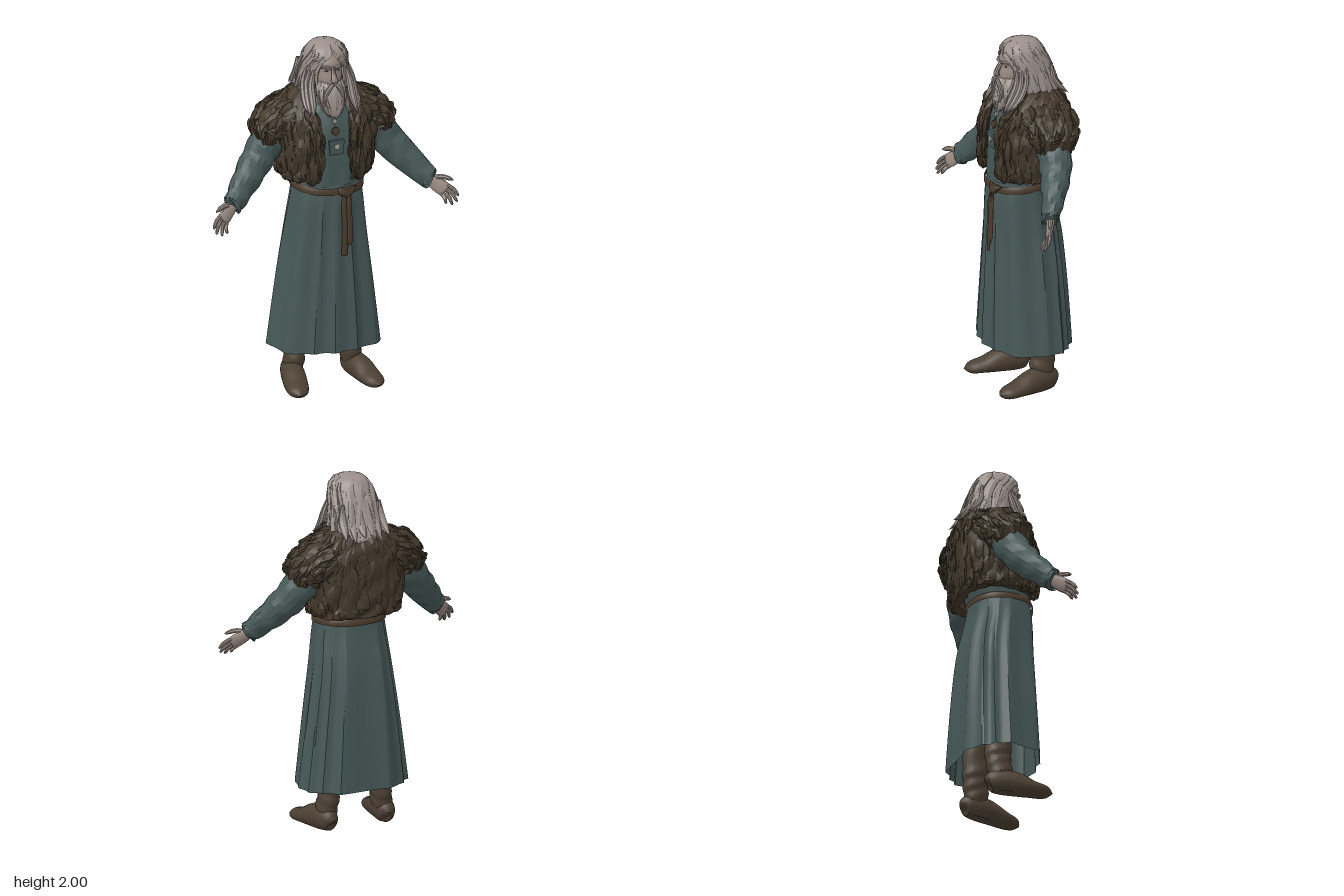
import * as THREE from 'three';
import { mergeGeometries, toCreasedNormals } from 'three/addons/utils/BufferGeometryUtils.js';

const V = (x, y, z) => new THREE.Vector3(x, y, z);
const mat = (name, color, side = THREE.FrontSide) => {
  const m = new THREE.MeshStandardMaterial({ color, side });
  m.name = name;
  return m;
};

// Smooth interpolation through a list of number rows
function at(rows, t) {
  const n = rows.length - 1, k = THREE.MathUtils.clamp(t, 0, 1) * n;
  const i = Math.min(Math.floor(k), n - 1), f = k - i;
  const p = j => rows[THREE.MathUtils.clamp(j, 0, n)];
  return rows[0].map((_, q) => {
    const a = p(i - 1)[q], b = p(i)[q], c = p(i + 1)[q], d = p(i + 2)[q];
    return 0.5 * (2 * b + (c - a) * f + (2 * a - 5 * b + 4 * c - d) * f * f + (3 * b - a - 3 * c + d) * f * f * f);
  });
}

// Surface around the vertical axis, rows top-down: [y, halfWidth, zFront, zBack, frontGap]
function shell(rows, bump = () => 0, power = 0.85) {
  const pw = v => Math.sign(v) * Math.abs(v) ** power;
  return (u, t) => {
    const [y, rx, zf, zb, gap = 0] = at(rows, u);
    const a0 = gap > 0 && rx > 0 ? Math.asin(Math.min(gap / rx, 0.95) ** (1 / power)) : 0;
    const a = a0 + t * (Math.PI * 2 - 2 * a0), d = bump(u, t);
    return V(pw(Math.sin(a)) * rx + Math.sin(a) * d, y,
      (zf + zb) / 2 + pw(Math.cos(a)) * (zf - zb) / 2 + Math.cos(a) * d);
  };
}

// Tube with elliptical sections, points: [x, y, z, radiusAcross, radiusAlongRef]
function sweep(pts, ref = V(0, 0, 1), bump = () => 0) {
  return (u, t) => {
    const [x, y, z, ra, rb] = at(pts, u), e = 0.02;
    const p = at(pts, u + e), q = at(pts, u - e);
    const dir = V(p[0] - q[0], p[1] - q[1], p[2] - q[2]).normalize();
    const side = dir.clone().cross(ref).normalize(), up = side.clone().cross(dir);
    const a = t * Math.PI * 2, d = ra > 0.001 ? bump(u, t) : 0;
    return V(x, y, z).addScaledVector(side, Math.cos(a) * (Math.max(ra, 0) + d))
      .addScaledVector(up, Math.sin(a) * (Math.max(rb, 0) + d));
  };
}

// Turns a surface function into a mesh geometry
function grid(fn, nu, nv, crease = 0.6) {
  const pos = [], idx = [];
  for (let i = 0; i <= nu; i++) for (let j = 0; j <= nv; j++) pos.push(...fn(i / nu, j / nv).toArray());
  for (let i = 0; i < nu; i++) for (let j = 0; j < nv; j++) {
    const a = i * (nv + 1) + j, c = a + nv + 1;
    idx.push(a, c, a + 1, a + 1, c, c + 1);
  }
  const g = new THREE.BufferGeometry();
  g.setAttribute('position', new THREE.Float32BufferAttribute(pos, 3));
  g.setIndex(idx);
  return toCreasedNormals(g, crease);
}

let seed = 7;
const rnd = () => (seed = (seed * 16807) % 2147483647) / 2147483647;

// Tapered locks lying on a surface and running down it
function strands(fn, count, span, width, lift, from = 0, to = 1) {
  const out = [];
  for (let k = 0; k < count; k++) {
    const t = THREE.MathUtils.clamp((k * 0.618) % 1 + (rnd() - 0.5) * 0.02, 0.01, 0.99);
    const u0 = from + rnd() * Math.max(0, to - from - span * 0.8), w = width * (0.7 + rnd() * 0.6), e = 0.01;
    const sway = (rnd() - 0.5) * span * 0.25, pts = [];
    const um = Math.min(u0 + span / 2, 0.95);
    const n = fn(um + e, t).sub(fn(um - e, t)).cross(fn(um, t + e).sub(fn(um, t - e))).normalize();
    for (let i = 0; i <= 4; i++) {
      const f = i / 4, s = [0.15, 0.9, 1, 0.7, 0][i];
      const p = fn(Math.min(u0 + f * span * (0.8 + 0.2 * rnd()), 1), t + sway * f).addScaledVector(n, lift * f);
      pts.push([p.x, p.y, p.z, w * s, w * s * 0.35]);
    }
    out.push(grid(sweep(pts, n), 5, 5, 0.4));
  }
  return mergeGeometries(out);
}

export function createModel() {
  const root = new THREE.Group();
  const cloth = mat('teal cloth', 0x465857, THREE.DoubleSide);
  const fur = mat('brown fur', 0x43382b, THREE.DoubleSide);
  const hair = mat('grey hair', 0x9b908b, THREE.DoubleSide);
  const skin = mat('skin', 0x998a82);
  const leather = mat('boot leather', 0x4c4033);
  const strap = mat('belt leather', 0x4b3c2d, THREE.DoubleSide);
  const metal = mat('pale metal', 0xa39c92);
  const dark = mat('dark eye', 0x59504a);
  const add = (name, geo, m, parent = root) => {
    const mesh = new THREE.Mesh(geo, m);
    mesh.name = name;
    parent.add(mesh);
    return mesh;
  };
  const front = V(0, 0, 1), turn = Math.PI * 2;

  // Pleated robe skirt and plain upper tunic
  const pleat = (u, t) => Math.min(1, u * 1.6) * (.018 * (.5 - Math.abs(Math.sin(t * turn * 6.5 + 1.2 * Math.sin(t * turn * 3) + .4 * u)))
    + .006 * Math.sin(t * turn * 7 + 1));
  add('robeSkirt', grid(shell([[1.22, .185, .175, -.135], [1.1, .2, .195, -.15], [.9, .225, .2, -.19],
    [.6, .268, .21, -.215], [.24, .315, .222, -.232]], pleat), 14, 130, .4), cloth);
  add('tunic', grid(shell([[1.71, .05, .05, -.07], [1.67, .08, .1, -.1], [1.6, .15, .14, -.15], [1.48, .2, .17, -.18],
    [1.33, .2, .18, -.18], [1.2, .19, .185, -.14]], (u, t) => .004 * Math.sin(t * turn * 10 + u * 5)), 12, 40), cloth);

  // Belt with knot and hanging ends
  add('belt', grid((u, t) => {
    const p = shell([[1.207, .193, .192, -.148], [1.19, .202, .198, -.156], [1.168, .2, .198, -.154]])(u, t);
    p.y -= .02 * Math.max(0, Math.sin(t * turn + 1.2));
    return p;
  }, 4, 48), strap);
  add('beltKnot', grid(sweep([[.0, 1.175, .19, 0, 0], [.02, 1.172, .195, .022, .014], [.055, 1.162, .2, .03, .018],
    [.09, 1.178, .192, .02, .014], [.12, 1.185, .178, 0, 0]], front), 10, 8), strap);
  [[.035, .81], [.062, .87]].forEach(([x, low]) => add('beltEnd', grid(sweep([[x + .01, 1.17, .203, .004, .004],
    [x, 1.1, .209, .016, .006], [x + .004, .95, .215, .017, .006], [x, low, .219, .018, .006], [x, low - .002, .219, 0, 0]],
    front), 12, 6), strap));

  // Chest pouch, clasps and lacing
  add('pouch', new THREE.BoxGeometry(.08, .075, .016), cloth).position.set(0, 1.422, .18);
  add('pouchFlap', new THREE.BoxGeometry(.086, .025, .02), cloth).position.set(0, 1.455, .18);
  [[1.432, .19, .016, metal], [1.515, .168, .023, strap], [1.57, .155, .013, metal]].forEach(([y, z, r, m]) => {
    const clasp = add('clasp', new THREE.CylinderGeometry(r, r, .012, 8), m);
    clasp.rotation.x = Math.PI / 2 - .12;
    clasp.position.set(0, y, z);
  });
  const lace = add('lacing', new THREE.BoxGeometry(.006, .1, .006), strap);
  lace.position.set(0, 1.535, .163);
  lace.rotation.x = -.25;

  // Open fur vest: shaggy shell covered in broad tufts
  const shag = (u, t) => .005 * Math.sin(t * turn * 13 + 4 * Math.sin(u * 9)) + .005 * Math.sin(t * turn * 6 + u * 31);
  const vest = shell([[1.73, .1, .0, -.12, .085], [1.705, .175, .07, -.18, .1], [1.63, .25, .14, -.23, .1],
    [1.55, .275, .17, -.24, .09], [1.45, .28, .195, -.238, .085], [1.35, .27, .2, -.235, .085],
    [1.26, .26, .19, -.228, .09], [1.225, .245, .17, -.21, .1], [1.23, .2, .14, -.17, .1]], shag);
  add('vest', grid(vest, 22, 90, .35), fur);
  add('vestFur', strands(vest, 230, .19, .027, .004, .1, .92), fur);

  // Skull, neck and facial features
  add('head', grid(shell([[1.98, .004, .004, -.004], [1.95, .065, .09, -.08], [1.89, .082, .132, -.1], [1.85, .08, .122, -.1],
    [1.81, .08, .13, -.09], [1.76, .066, .125, -.07], [1.71, .05, .08, -.06], [1.63, .06, .06, -.07]], undefined, .92), 18, 28), skin);
  add('nose', grid(sweep([[0, 1.88, .122, .008, .008], [0, 1.85, .138, .012, .013], [0, 1.815, .154, .017, .015],
    [0, 1.8, .154, .021, .013], [0, 1.79, .143, 0, 0]], front), 10, 10), skin);

  // Hair curtain parted over the face
  const waves = (u, t) => u * (.006 * Math.sin(t * turn * 12 + 5 * u) + .004 * Math.sin(t * turn * 6));
  const mane = shell([[1.995, .001, -.004, -.006, 0], [1.978, .075, .085, -.08, 0], [1.935, .11, .124, -.112, .008],
    [1.88, .123, .118, -.137, .076], [1.8, .134, .095, -.165, .086], [1.72, .145, .085, -.195, .09],
    [1.67, .15, .075, -.215, .1], [1.63, .14, .07, -.2, .105]], waves, .95);
  add('hair', grid(mane, 20, 80, .4), hair);
  add('hairLocks', strands(mane, 75, .55, .017, .005, .1, 1), hair);

  // Full beard
  const beard = shell([[1.79, .06, .12, .02], [1.75, .079, .15, .02], [1.7, .074, .163, .04], [1.65, .06, .165, .08],
    [1.61, .04, .162, .11], [1.585, .004, .15, .14]], (u, t) => .004 * (1 - u) * Math.sin(t * turn * 11 + u * 4), .95);
  add('beard', grid(beard, 12, 44, .4), hair);
  add('beardLocks', strands(beard, 50, .6, .011, .005, .1, 1), hair);

  // Everything that comes in pairs, built on the left
  const left = new THREE.Group();
  left.name = 'leftSide';

  const cap = sweep([[.08, 1.62, -.055, .06, .11], [.16, 1.6, -.058, .09, .14], [.235, 1.56, -.058, .102, .148],
    [.288, 1.512, -.052, .106, .134], [.315, 1.468, -.045, .097, .118], [.31, 1.463, -.045, .075, .09]], front, shag);
  add('shoulderFur', grid(cap, 14, 44, .35), fur, left);
  add('shoulderTufts', strands(cap, 80, .28, .025, .004, .15, .93), fur, left);
  const lapel = sweep([[.0, 1.73, -.12, .02, .025], [.075, 1.725, -.08, .022, .026], [.115, 1.69, .02, .028, .028],
    [.125, 1.61, .118, .032, .028], [.118, 1.53, .165, .034, .026], [.118, 1.4, .186, .036, .022],
    [.13, 1.28, .182, .038, .022], [.15, 1.225, .16, .02, .015]], V(.2, .1, 1), shag);
  add('lapel', grid(lapel, 22, 14, .35), fur, left);
  add('lapelTufts', strands(lapel, 45, .14, .018, .005, .1, .98), fur, left);

  // Sleeve with angular folds and a blunt cuff
  add('sleeve', grid(sweep([[.2, 1.55, -.05, .09, .1], [.3, 1.445, -.045, .098, .098], [.37, 1.355, -.028, .092, .088],
    [.43, 1.285, .005, .086, .078], [.5, 1.21, .05, .074, .06], [.562, 1.146, .094, .062, .047], [.573, 1.136, .1, .058, .043],
    [.58, 1.129, .105, .03, .025]],
    front, (u, t) => .006 * Math.sin(u * 38 + 3 * Math.sin(t * turn)) * Math.sin(t * turn * 2)), 26, 16, .35), cloth, left);

  // Hand: palm, four fingers and thumb
  add('palm', grid(sweep([[.555, 1.152, .085, .027, .026], [.6, 1.112, .114, .04, .02], [.645, 1.075, .144, .038, .014],
    [.655, 1.067, .15, 0, 0]], front), 10, 12), skin, left);
  [[.638, 1.01, .188], [.672, 1.002, .198], [.702, 1.014, .192], [.714, 1.042, .18]].forEach(([x, y, z], i) => {
    const k = (i - 1.5) * .019, bx = .638 + k * .6, by = 1.08 + k * .8, bz = .138;
    add('finger', grid(sweep([[bx, by, bz, .011, .011], [(bx + x) / 2 + .006, (by + y) / 2 + .004, (bz + z) / 2, .011, .011],
      [x * .9 + bx * .1, y * .9 + by * .1, z * .9 + bz * .1, .008, .008], [x, y, z, 0, 0]], front), 9, 8), skin, left);
  });
  add('thumb', grid(sweep([[.585, 1.135, .1, .015, .015], [.63, 1.148, .125, .014, .014], [.672, 1.137, .148, .011, .011],
    [.692, 1.127, .157, 0, 0]], front), 9, 8), skin, left);

  // Boot: wrinkled shaft and long soft foot with a flat sole
  add('bootShaft', grid(sweep([[.145, .42, -.045, .058, .075], [.15, .27, -.048, .06, .077], [.155, .2, -.048, .057, .073],
    [.165, .13, -.042, .058, .07], [.172, .05, -.04, .05, .06]], front,
    (u, t) => .003 * Math.sin(u * 26 + 2 * Math.sin(t * turn))), 20, 18, .4), leather, left);
  const foot = sweep([[.168, .045, -.118, 0, 0], [.17, .052, -.108, .042, .052], [.178, .062, -.05, .06, .07],
    [.195, .056, .04, .066, .068], [.212, .036, .13, .066, .044], [.225, .026, .205, .05, .031], [.232, .022, .243, 0, 0]], V(0, 1, 0));
  add('bootFoot', grid((u, t) => { const p = foot(u, t); p.y = Math.max(p.y, 0); return p; }, 22, 18), leather, left);

  // Brow, eye and moustache
  add('eyebrow', grid(sweep([[.006, 1.868, .13, 0, 0], [.022, 1.873, .131, .009, .01], [.045, 1.878, .121, .008, .009],
    [.074, 1.862, .095, 0, 0]], front), 8, 6), hair, left);
  const eye = add('eye', new THREE.SphereGeometry(1, 10, 8), dark, left);
  eye.scale.set(.013, .005, .005);
  eye.position.set(.032, 1.85, .114);
  add('moustache', grid(sweep([[.002, 1.785, .148, .006, .006], [.022, 1.772, .158, .014, .011], [.045, 1.735, .153, .014, .011],
    [.052, 1.69, .15, .009, .008], [.05, 1.65, .155, 0, 0]], front), 12, 7), hair, left);

  // Loose locks falling over the front of the shoulder
  [[.1, .0], [.118, .02], [.13, .045]].forEach(([x, d]) => add('frontLock', grid(sweep([[x - .015, 1.87, .075 - d, .005, .005],
    [x + .01, 1.78, .085 - d, .018, .014], [x + .015, 1.7, .12 - d, .02, .014], [x + .02, 1.65, .15 - d * .6, .014, .01],
    [x + .03, 1.6 + d, .172 - d * .5, 0, 0]], front), 12, 7, .4), hair, left));
  // Locks spreading over the back of the collar
  [[.02, 1.69], [.065, 1.66], [.11, 1.68]].forEach(([x, low]) => add('backLock', grid(sweep([[x, 1.86, -.125, .01, .008],
    [x * 1.05, 1.78, -.165 + x * .3, .024, .014], [x * 1.1, 1.72, -.2 + x * .25, .022, .014], [x * 1.2, low, -.24 + x * .2, 0, 0]],
    front), 10, 7, .4), hair, left));

  root.add(left);
  const right = left.clone();
  right.name = 'rightSide';
  right.scale.x = -1;
  root.add(right);
  return root;
}
